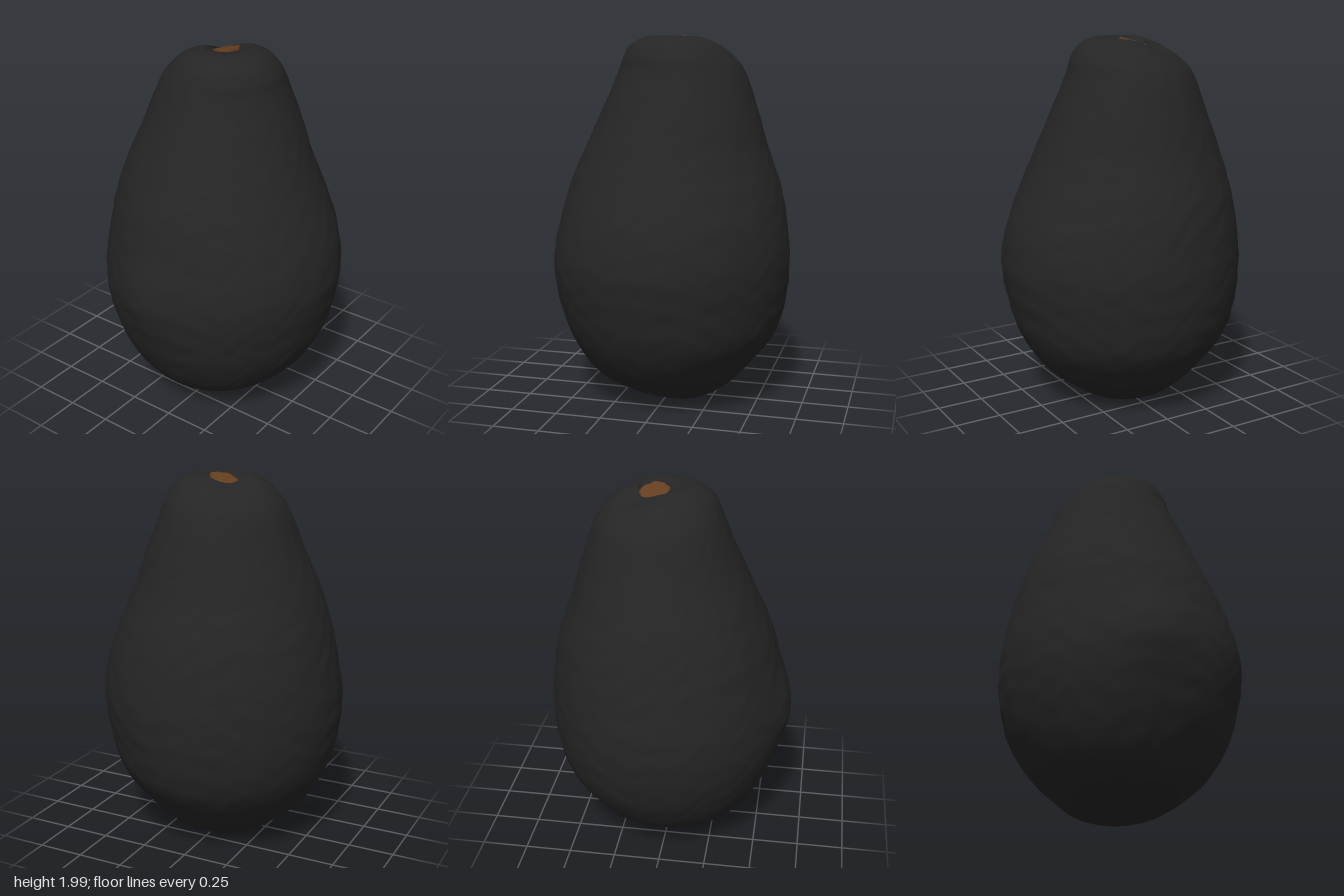
import * as THREE from 'three';

// Cross-sections from base to stem hollow: y, left x, right x, back z, front z
const SECTIONS = [
  [0.005, 0.1, 0.1, -0.02, -0.02],
  [0.008, 0.0, 0.18, -0.13, 0.09],
  [0.045, -0.12, 0.27, -0.25, 0.22],
  [0.11, -0.34, 0.36, -0.35, 0.33],
  [0.22, -0.46, 0.46, -0.475, 0.455],
  [0.4, -0.56, 0.59, -0.58, 0.575],
  [0.6, -0.615, 0.645, -0.635, 0.635],
  [0.8, -0.625, 0.66, -0.65, 0.66],
  [1.0, -0.595, 0.64, -0.625, 0.63],
  [1.2, -0.545, 0.6, -0.58, 0.555],
  [1.4, -0.46, 0.53, -0.52, 0.47],
  [1.6, -0.37, 0.47, -0.44, 0.39],
  [1.8, -0.285, 0.4, -0.36, 0.31],
  [1.88, -0.25, 0.345, -0.3, 0.285],
  [1.95, -0.2, 0.27, -0.22, 0.235],
  [1.99, -0.1, 0.18, -0.13, 0.15],
  [1.975, 0.0, 0.165, -0.11, 0.045],
  [1.955, 0.085, 0.085, -0.035, -0.035],
];

const gauss = (d2, width) => Math.exp(-d2 / (width * width));

// Gentle lumps and fine wrinkles of the skin, as a relative change of radius
function skinNoise(a, y) {
  const lumps = Math.sin(3 * a + 4 * y) * Math.sin(5 * y - 2 * a) * 0.006;
  const pebbles = Math.sin(11 * a + 6 * Math.sin(5 * y)) * Math.sin(17 * y + 3 * Math.sin(4 * a)) * 0.004;
  const wrinkles = Math.sin(46 * y + 5 * Math.sin(3 * a) + 2 * Math.sin(13 * a)) * Math.sin(9 * a + 8 * y) * 0.0025;
  return lumps + pebbles + wrinkles;
}

function skinGeometry(rings, sides) {
  const xs = new THREE.CatmullRomCurve3(SECTIONS.map(s => new THREE.Vector3(s[1], s[0], s[2])), false, 'catmullrom', 0.5);
  const zs = new THREE.CatmullRomCurve3(SECTIONS.map(s => new THREE.Vector3(s[3], s[0], s[4])), false, 'catmullrom', 0.5);
  const positions = [], index = [];
  for (let i = 0; i <= rings; i++) {
    const px = xs.getPoint(i / rings), pz = zs.getPoint(i / rings);
    const cx = (px.x + px.z) / 2, rx = (px.z - px.x) / 2;
    const cz = (pz.x + pz.z) / 2, rz = (pz.z - pz.x) / 2;
    for (let j = 0; j < sides; j++) {
      const a = j / sides * Math.PI * 2;
      // Swelling on the right flank
      const swell = 0.06 * gauss((a - Math.PI - 0.08) ** 2, 0.3) * gauss((px.y - 0.8) ** 2, 0.2);
      const r = 1 + skinNoise(a, px.y) + swell;
      const x = cx + rx * r * Math.cos(a), z = cz + rz * r * Math.sin(a);
      // Notch beside the stem
      const notch = px.y > 1.7 ? 0.045 * gauss((x - 0.16) ** 2 + (z + 0.11) ** 2, 0.11) : 0;
      positions.push(x, Math.max(0, px.y - notch), z);
      if (i < rings) {
        const k = (j + 1) % sides;
        const p = i * sides + j, q = i * sides + k;
        index.push(p, p + sides, q, p + sides, q + sides, q);
      }
    }
  }
  const g = new THREE.BufferGeometry();
  g.setAttribute('position', new THREE.Float32BufferAttribute(positions, 3));
  g.setIndex(index);
  g.computeVertexNormals();
  return g;
}

// Rough, slanted plug left by the stalk
function stemGeometry() {
  const points = [[0.076, -0.04], [0.08, -0.006], [0.07, 0.002], [0.045, -0.002], [0.02, 0.004], [0, 0.001]]
    .map(p => new THREE.Vector2(p[0], p[1]));
  const g = new THREE.LatheGeometry(points, 28);
  const pos = g.attributes.position;
  for (let i = 0; i < pos.count; i++) {
    const a = Math.atan2(pos.getZ(i), pos.getX(i));
    const r = 1 + 0.04 * Math.sin(5 * a) + 0.03 * Math.sin(9 * a + 1);
    const x = pos.getX(i) * r, z = pos.getZ(i) * r;
    const rough = 0.003 * Math.sin(70 * x) * Math.sin(80 * z + 1);
    pos.setXYZ(i, x, pos.getY(i) + 0.3 * z - 0.1 * x + rough, z);
  }
  g.computeVertexNormals();
  return g;
}

export function createModel() {
  const skinMaterial = new THREE.MeshStandardMaterial({ color: 0x252525 });
  skinMaterial.name = 'dark skin';
  const stemMaterial = new THREE.MeshStandardMaterial({ color: 0x653f20 });
  stemMaterial.name = 'brown stem';

  const skin = new THREE.Mesh(skinGeometry(170, 144), skinMaterial);
  skin.name = 'skin';
  const stem = new THREE.Mesh(stemGeometry(), stemMaterial);
  stem.name = 'stem';
  stem.position.set(0.085, 1.968, -0.035);

  const model = new THREE.Group();
  model.name = 'avocado';
  model.add(skin, stem);
  return model;
}
